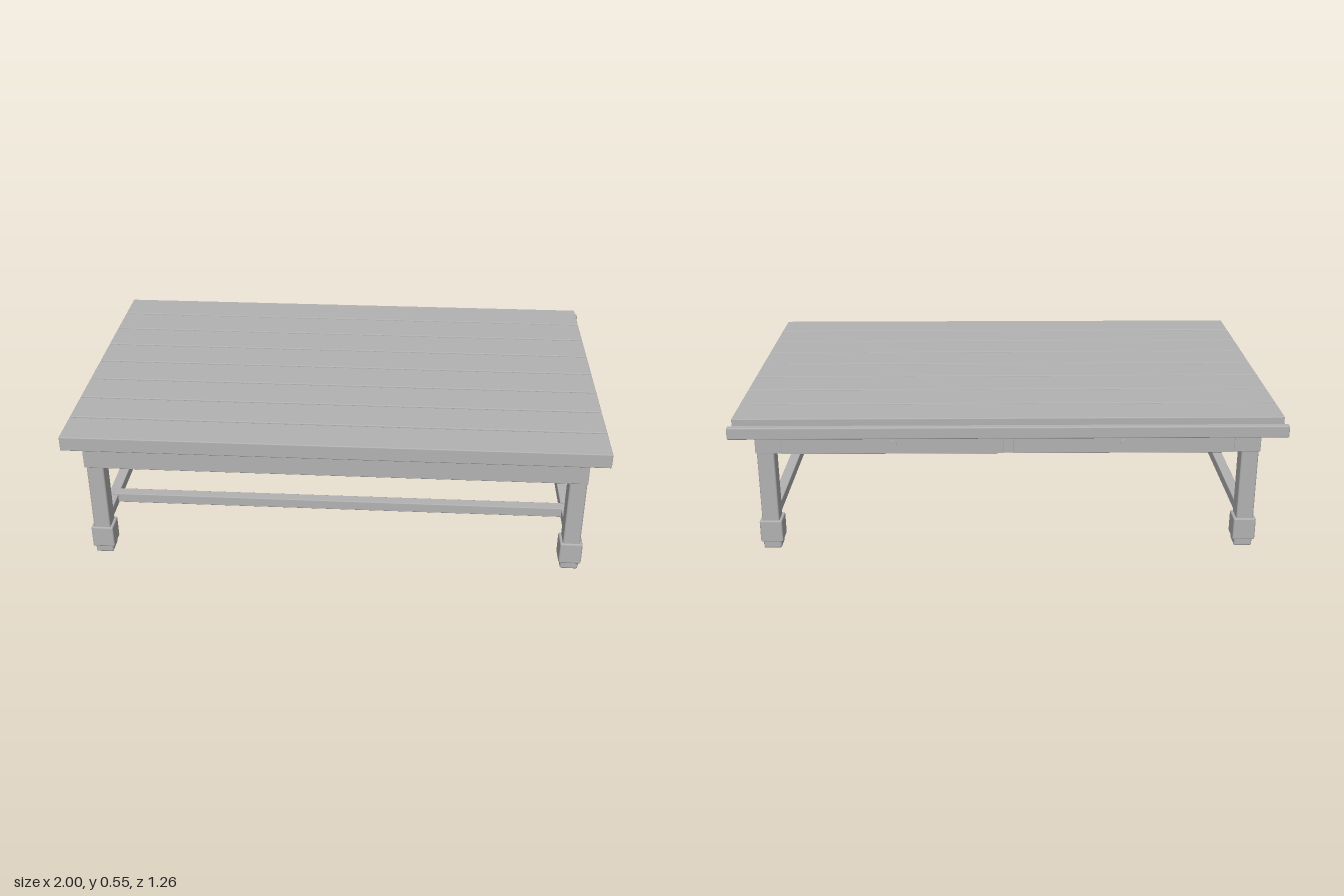
import * as THREE from 'three';
import { RoundedBoxGeometry } from 'three/addons/geometries/RoundedBoxGeometry.js';

export function createModel() {
  const model = new THREE.Group();
  model.name = 'slattedTable';
  const wood = new THREE.MeshStandardMaterial({ color: 0xb2b2b2 });
  wood.name = 'plainGrey';

  // Softly bevelled bar given by its limits on each axis
  function bar(name, [x0, x1], [y0, y1], [z0, z1], bevel = 0.003) {
    const geometry = new RoundedBoxGeometry(x1 - x0, y1 - y0, z1 - z0, 1, bevel);
    const mesh = new THREE.Mesh(geometry, wood);
    mesh.name = name;
    mesh.position.set((x0 + x1) / 2, (y0 + y1) / 2, (z0 + z1) / 2);
    model.add(mesh);
    return mesh;
  }
  const around = (c, half) => [c - half, c + half];

  // Table top: eight planks with narrow gaps
  const pitch = 0.1555, plankWidth = 0.149;
  for (let i = 0; i < 8; i++) {
    const z = 0.631 - i * pitch;
    bar('topPlank', [-0.984, 0.984], [0.498, 0.554], [z - plankWidth, z], 0.004);
  }

  // Rail along the back edge of the top
  bar('backRail', [-1, 1], [0.483, 0.528], [-0.631, -0.604], 0.005);

  // Aprons below the top
  bar('frontApron', [-0.917, 0.917], [0.403, 0.498], [0.553, 0.59]);
  bar('backApron', [-0.917, 0.917], [0.403, 0.498], [-0.566, -0.529]);

  for (const side of [-1, 1]) {
    const xLeg = side * 0.889;
    bar('sideApron', around(xLeg, 0.025), [0.403, 0.498], [-0.53, 0.554]);

    // Legs with a square collar and a smaller foot
    for (const z of [0.519, -0.493]) {
      bar('leg', around(xLeg, 0.032), [0.1, 0.486], around(z, 0.035), 0.006);
      bar('legCollar', around(xLeg, 0.042), [0.029, 0.117], around(z, 0.041), 0.006);
      bar('foot', around(xLeg, 0.034), [0, 0.05], around(z, 0.035), 0.008);
    }

    // Low stretcher joining front and back legs
    bar('sideStretcher', around(xLeg, 0.02), [0.1, 0.14], [-0.47, 0.495]);

    // Drawer front on the back with a small round knob
    const x = side * 0.418;
    bar('drawerFront', around(x, 0.4), [0.408, 0.484], [-0.584, -0.56]);
    const knob = new THREE.Mesh(new THREE.CylinderGeometry(0.017, 0.017, 0.005, 24), wood);
    knob.name = 'drawerKnob';
    knob.rotation.x = Math.PI / 2;
    knob.position.set(x, 0.446, -0.593);
    model.add(knob);
    const stem = new THREE.Mesh(new THREE.CylinderGeometry(0.004, 0.004, 0.012, 10), wood);
    stem.name = 'knobStem';
    stem.rotation.x = Math.PI / 2;
    stem.position.set(x, 0.446, -0.587);
    model.add(stem);
  }

  // Long stretcher resting between the side stretchers
  bar('longStretcher', [-0.89, 0.89], [0.107, 0.146], around(0.344, 0.021));

  return model;
}
